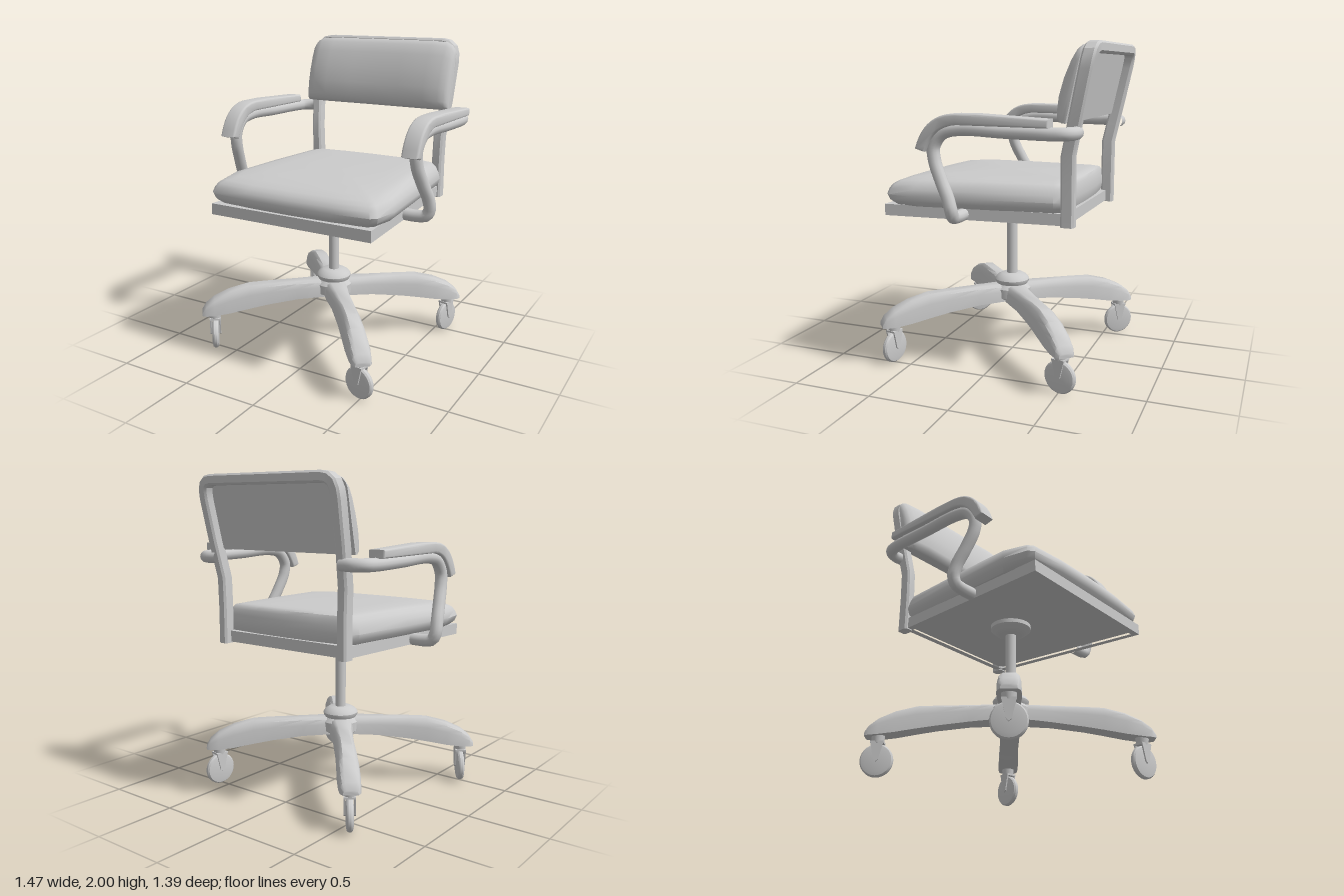
import * as THREE from 'three';
import { toCreasedNormals } from 'three/addons/utils/BufferGeometryUtils.js';

const material = new THREE.MeshStandardMaterial({ color: 0xcccccc });
const V = (x, y, z) => new THREE.Vector3(x, y, z);

function add(parent, name, geometry) {
  const mesh = new THREE.Mesh(geometry, material);
  mesh.name = name;
  parent.add(mesh);
  return mesh;
}

// Skin a list of equal-length rings, cap both ends, and turn the faces outward.
function loft(rings, crease = 0.6) {
  const n = rings[0].length, last = rings.length - 1;
  const pts = rings.flat(), idx = [];
  for (let i = 0; i < last; i++) {
    for (let j = 0; j < n; j++) {
      const a = i * n + j, b = i * n + (j + 1) % n;
      idx.push(a, b, b + n, a, b + n, a + n);
    }
  }
  for (const i of [0, last]) {
    const c = pts.length;
    pts.push(rings[i].reduce((s, p) => s.add(p), V(0, 0, 0)).divideScalar(n));
    for (let j = 0; j < n; j++) {
      const a = i * n + j, b = i * n + (j + 1) % n;
      idx.push(c, ...(i ? [a, b] : [b, a]));
    }
  }
  let volume = 0;
  for (let i = 0; i < idx.length; i += 3) {
    volume += pts[idx[i]].dot(V(0, 0, 0).crossVectors(pts[idx[i + 1]], pts[idx[i + 2]]));
  }
  if (volume < 0) idx.reverse();
  const g = new THREE.BufferGeometry().setFromPoints(pts);
  g.setIndex(idx);
  return toCreasedNormals(g, crease);
}

const lathe = (profile, segments = 24) => toCreasedNormals(
  new THREE.LatheGeometry(profile.map(([r, y]) => new THREE.Vector2(r, y)), segments), 0.6);

const polygon = (points) => new THREE.Shape(points.map(([x, y]) => new THREE.Vector2(x, y)));

// Depth of the back frame: upright below, leaning backward above the arms
const backZ = (y) => -0.515 - Math.max(0, y - 1.37) * 0.21;

function createSeat(chair) {
  const half = [[0, .64], [.3, .633], [.54, .61], [.575, .58], [.6, .42], [.56, 0],
    [.515, -.44], [.49, -.48], [.25, -.5], [0, -.505]];
  const outline = [...half, ...half.slice(1, -1).reverse().map(([x, z]) => [-x, z])];
  // Each level: height, inset, drop along the front edge
  const levels = [[1.035, .045, 0], [1.065, .012, 0], [1.1, 0, 0], [1.14, .012, .005], [1.175, .03, .015],
    [1.198, .06, .02], [1.208, .12, .012], [1.213, .25, 0]];
  const rings = levels.map(([y, inset, drop]) => outline.map(([x, z]) => V(
    x * (1 - inset / .6),
    y - drop * THREE.MathUtils.smoothstep(z, .3, .6),
    z * (1 - inset * (z > 0 ? 1 : .4) / .63))));
  add(chair, 'seatCushion', loft(rings, 0.7));

  // Hollow pan under the cushion, with a recessed plate
  const corners = (s) => [[-.555 + s, .62 - s], [.555 - s, .62 - s], [.48 - s, -.51 + s], [-.48 + s, -.51 + s]];
  const rim = polygon(corners(0));
  rim.holes.push(polygon(corners(.04)));
  const flat = (shape, depth) => new THREE.ExtrudeGeometry(shape, { depth, bevelEnabled: false }).rotateX(Math.PI / 2);
  add(chair, 'seatPanRim', flat(rim, .07)).position.y = 1.037;
  add(chair, 'seatPanPlate', flat(polygon(corners(.02)), .04)).position.y = 1.03;
}

function createBack(chair) {
  // Inverted U frame with a softly chamfered rectangular section
  const side = [[.468, .96], [.468, 1.2], [.473, 1.37], [.482, 1.48], [.492, 1.6], [.503, 1.85], [.5, 1.9],
    [.487, 1.938], [.46, 1.96], [.42, 1.967]];
  const path = [...side, ...side.slice().reverse().map(([x, y]) => [-x, y])];
  const section = [[-.033, -.028], [-.021, -.04], [.021, -.04], [.033, -.028],
    [.033, .028], [.021, .04], [-.021, .04], [-.033, .028]];
  const rings = path.map(([x, y], i) => {
    const [ax, ay] = path[Math.max(i - 1, 0)], [bx, by] = path[Math.min(i + 1, path.length - 1)];
    const l = Math.hypot(bx - ax, by - ay), nx = -(by - ay) / l, ny = (bx - ax) / l;
    return section.map(([w, d]) => V(x + nx * w, y + ny * w, backZ(y) + d));
  });
  add(chair, 'backFrame', loft(rings, 0.5));

  // Cushion: height and thickness profile, swept across the width
  const profile = [[1.55, 0], [1.553, .045], [1.575, .075], [1.61, .088], [1.7, .098], [1.8, .09],
    [1.9, .068], [1.96, .042], [1.985, .012], [1.985, 0]];
  const stations = [[.537, .3, .82], [.53, .6, .88], [.51, .78, .94], [.47, .91, .985], [.37, 1, 1], [.18, .93, 1]];
  const across = [...stations, [0, .9, 1], ...stations.slice().reverse().map(([x, k, s]) => [-x, k, s])];
  add(chair, 'backCushion', loft(across.map(([x, k, s]) => profile.map(([y, t]) => {
    const h = 1.55 + (y - 1.55) * s;
    return V(x, h, backZ(h) + .042 + t * k);
  })), 0.8));

  const panel = add(chair, 'backPanel', new THREE.BoxGeometry(.96, .41, .02));
  panel.position.set(0, 1.755, backZ(1.755) + .03);
  panel.rotation.x = -Math.atan(.21);
}

function createArm(chair, s) {
  const arm = new THREE.Group();
  arm.name = s > 0 ? 'leftArm' : 'rightArm';
  chair.add(arm);
  // Bent tube from the back post, forward, down and in under the seat
  const curve = new THREE.CatmullRomCurve3([
    [.48, 1.5, -.565], [.56, 1.5, -.568], [.615, 1.5, -.535], [.637, 1.5, -.46], [.64, 1.505, -.2],
    [.64, 1.512, .08], [.64, 1.487, .18], [.64, 1.41, .238], [.645, 1.33, .232], [.662, 1.22, .185],
    [.68, 1.12, .135], [.682, 1.05, .115], [.66, 1.01, .115], [.61, 1.0, .115], [.52, 1.0, .115],
  ].map(([x, y, z]) => V(s * x, y, z)), false, 'centripetal');
  add(arm, 'armTube', new THREE.TubeGeometry(curve, 80, .038, 12));

  // Arm pad: side outline extruded across the width
  const shape = new THREE.Shape();
  shape.moveTo(-.45, 1.545);
  shape.lineTo(.08, 1.55);
  shape.bezierCurveTo(.2, 1.54, .24, 1.48, .285, 1.395);
  shape.lineTo(.322, 1.405);
  shape.bezierCurveTo(.28, 1.53, .2, 1.59, .08, 1.59);
  shape.lineTo(-.05, 1.59);
  shape.lineTo(-.45, 1.57);
  const pad = new THREE.ExtrudeGeometry(shape, {
    depth: .08, bevelSize: .012, bevelThickness: .014, bevelSegments: 3, curveSegments: 12,
  });
  pad.translate(0, 0, -.04).rotateY(-Math.PI / 2);
  // Rotation sends the outline's horizontal axis to +z
  add(arm, 'armPad', toCreasedNormals(pad, 0.7)).position.x = s * .64;
}

function createCaster() {
  const caster = new THREE.Group();
  caster.name = 'caster';
  const wheel = lathe([[0, -.022], [.07, -.022], [.092, -.018], [.1, -.008], [.1, .008], [.092, .018],
    [.07, .022], [0, .022]], 28).rotateX(Math.PI / 2);
  add(caster, 'wheel', wheel).position.y = .1;
  add(caster, 'stem', new THREE.CylinderGeometry(.042, .036, .05, 16)).position.y = .228;
  add(caster, 'forkCrown', new THREE.BoxGeometry(.08, .012, .07)).position.y = .208;
  const plate = polygon([[-.04, .212], [-.014, .1], [0, .088], [.014, .1], [.04, .212]]);
  for (const z of [-.035, .025]) {
    add(caster, 'forkPlate', new THREE.ExtrudeGeometry(plate, { depth: .01, bevelEnabled: false })).position.z = z;
  }
  return caster;
}

function createBase(chair) {
  const base = new THREE.Group();
  base.name = 'swivelBase';
  base.position.set(-.035, 0, .015);
  chair.add(base);

  add(base, 'column', new THREE.CylinderGeometry(.034, .034, .6, 20)).position.y = .7;
  add(base, 'seatMount', lathe([[0, .925], [.07, .925], [.1, .94], [.13, .965], [.13, 1.0], [0, 1.0]]));
  add(base, 'hubCap', lathe([[0, .43], [.09, .43], [.11, .458], [.113, .475], [.1, .495], [.07, .513], [0, .516]]));
  add(base, 'hub', lathe([[0, .338], [.09, .338], [.125, .36], [.125, .42], [.1, .446], [0, .446]]));

  // Leg stations: radius, top, bottom, half width
  const stations = [[0, .447, .342, .075], [.12, .446, .338, .075], [.25, .443, .328, .062], [.45, .438, .302, .06],
    [.57, .432, .282, .063], [.7, .398, .258, .067], [.8, .352, .245, .066], [.855, .308, .242, .06],
    [.88, .268, .242, .045]];
  const leg = loft(stations.map(([r, t, b, w]) => {
    const h = t - b;
    return [[-w, b], [w, b], [w * .95, t - .4 * h], [w * .8, t - .12 * h], [w * .5, t],
      [-w * .5, t], [-w * .8, t - .12 * h], [-w * .95, t - .4 * h]].map(([z, y]) => V(r, y, z));
  }), 0.7);

  // Four legs, each with the heading of its caster in degrees
  [[49, 12], [141, 52], [229, 52], [319, 102]].forEach(([angle, heading]) => {
    const arm = new THREE.Group();
    arm.name = 'baseLeg';
    arm.rotation.y = -THREE.MathUtils.degToRad(angle);
    add(arm, 'legBeam', leg);
    const caster = createCaster();
    caster.position.x = .8;
    caster.rotation.y = THREE.MathUtils.degToRad(angle - heading);
    arm.add(caster);
    base.add(arm);
  });
}

export function createModel() {
  const chair = new THREE.Group();
  chair.name = 'officeChair';
  createSeat(chair);
  createBack(chair);
  createArm(chair, 1);
  createArm(chair, -1);
  createBase(chair);
  return chair;
}
